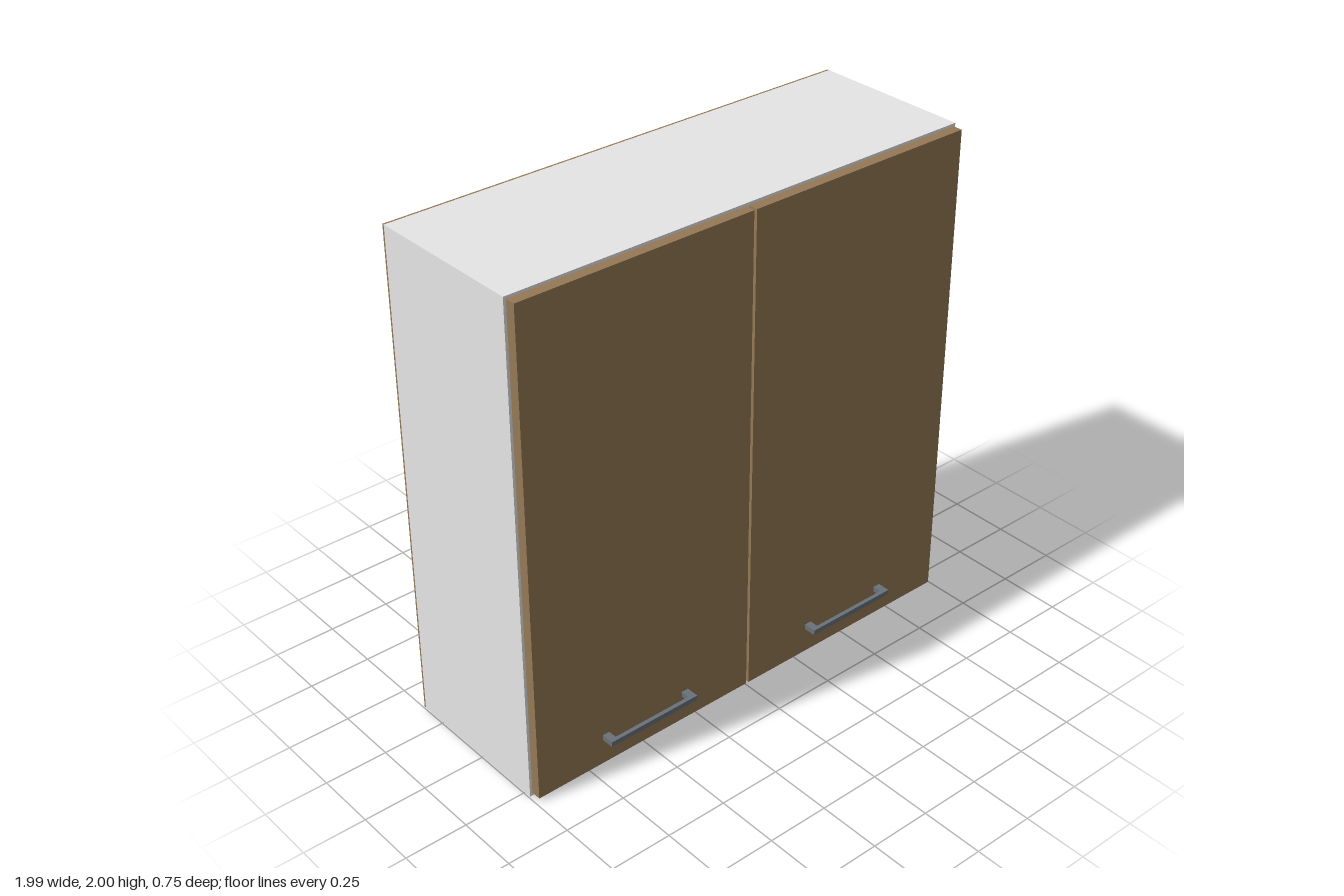
import * as THREE from 'three';

export function createModel() {
  const model = new THREE.Group();
  model.name = 'wallCabinet';

  const material = (name, color) => {
    const m = new THREE.MeshStandardMaterial({ color });
    m.name = name;
    return m;
  };
  const white = material('whitePanel', 0xe6e6e6);
  const wood = material('brownWood', 0x957955);
  const metal = material('greyMetal', 0x69717a);

  // Box given by its limits on each axis
  const box = (parent, name, mat, [x0, x1], [y0, y1], [z0, z1]) => {
    const mesh = new THREE.Mesh(new THREE.BoxGeometry(x1 - x0, y1 - y0, z1 - z0), mat);
    mesh.position.set((x0 + x1) / 2, (y0 + y1) / 2, (z0 + z1) / 2);
    mesh.name = name;
    parent.add(mesh);
  };

  const W = 0.994, H = 2, T = 0.042;
  const back = -0.373, front = 0.28;
  const depth = [back + 0.008, front];

  // Carcass
  const carcass = new THREE.Group();
  carcass.name = 'carcass';
  model.add(carcass);
  box(carcass, 'rightSide', white, [-W, -W + T], [0, H], depth);
  box(carcass, 'leftSide', white, [W - T, W], [0, H], depth);
  box(carcass, 'topPanel', white, [-W + T, W - T], [H - T, H], depth);
  box(carcass, 'bottomPanel', white, [-W + T, W - T], [0, T], depth);
  box(carcass, 'divider', white, [-T / 2, T / 2], [T, H - T], depth);
  box(carcass, 'backPanel', wood, [-W, W], [0, H], [back, back + 0.008]);

  // Pair of doors, each with a bar handle
  for (const side of [-1, 1]) {
    const door = new THREE.Group();
    door.name = side < 0 ? 'rightDoor' : 'leftDoor';
    door.position.x = side * 0.495;
    model.add(door);
    box(door, 'doorPanel', wood, [-0.489, 0.489], [0.013, 1.99], [front + 0.001, 0.321]);
    box(door, 'handleBar', metal, [-0.2, 0.2], [0.12, 0.141], [0.357, 0.373]);
    for (const end of [-1, 1]) {
      const x = end * 0.185;
      box(door, 'handlePost', metal, [x - 0.015, x + 0.015], [0.12, 0.141], [0.321, 0.357]);
    }
  }
  return model;
}
